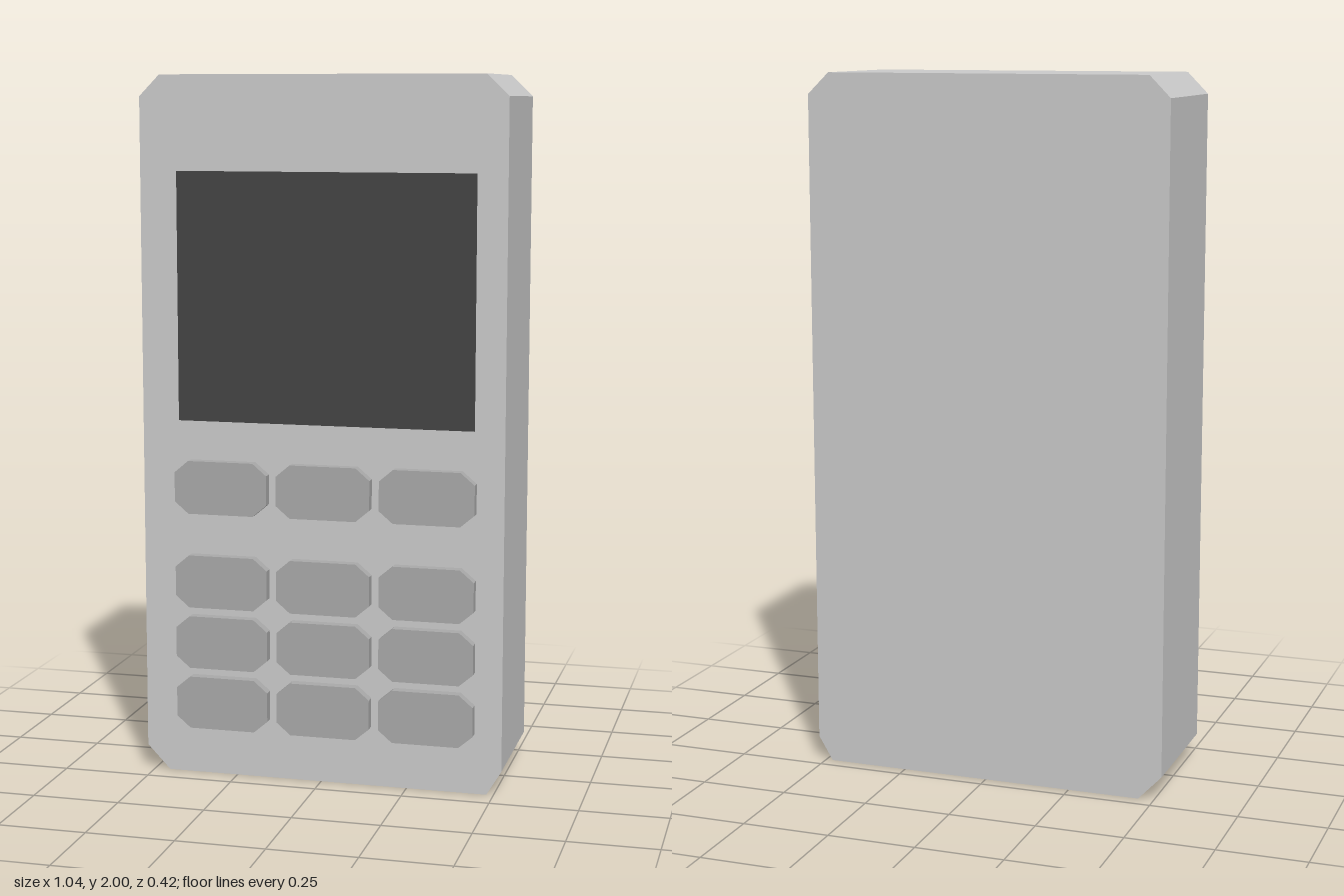
import * as THREE from 'three';

const FRONT = 0.18, BACK = -0.21;

const grey = new THREE.MeshStandardMaterial({ color: 0xcccccc, flatShading: true });
const keyGrey = new THREE.MeshStandardMaterial({ color: 0xaaaaaa, flatShading: true });
const screenDark = new THREE.MeshStandardMaterial({ color: 0x444444 });

// Straight extrusion of an outline from z0 to z1
function slab(name, points, z0, z1, material) {
  const shape = new THREE.Shape(points.map(([x, y]) => new THREE.Vector2(x, y)));
  const geometry = new THREE.ExtrudeGeometry(shape, { depth: z1 - z0, bevelEnabled: false });
  geometry.translate(0, 0, z0);
  const mesh = new THREE.Mesh(geometry, material);
  mesh.name = name;
  return mesh;
}

// Rectangle with cut corners, centred on (x, y)
function cutRectangle(x, y, w, h, cx, cy) {
  const a = w / 2, b = h / 2;
  return [
    [-a + cx, -b], [a - cx, -b], [a, -b + cy], [a, b - cy],
    [a - cx, b], [-a + cx, b], [-a, b - cy], [-a, -b + cy],
  ].map(([px, py]) => [x + px, y + py]);
}

export function createModel() {
  const model = new THREE.Group();
  model.name = 'handset';

  // Case with cut corners, slightly uneven at the bottom
  model.add(slab('case', [
    [-0.455, 0], [0.48, 0], [0.522, 0.07], [0.522, 1.94],
    [0.46, 2], [-0.463, 2], [-0.522, 1.94], [-0.522, 0.07],
  ], BACK, FRONT, grey));

  // Display, lying just above the front face
  const screen = new THREE.Mesh(new THREE.PlaneGeometry(0.853, 0.703), screenDark);
  screen.name = 'screen';
  screen.position.set(0.011, 1.383, FRONT + 0.002);
  model.add(screen);

  // Keypad: one row of menu keys above three rows of number keys
  const keypad = new THREE.Group();
  keypad.name = 'keypad';
  [0.844, 0.571, 0.393, 0.215].forEach((y, row) => {
    [-0.286, 0.012, 0.309].forEach((x) => {
      const name = row === 0 ? 'menuKey' : 'numberKey';
      keypad.add(slab(name, cutRectangle(x, y, 0.27, 0.152, 0.04, 0.034), FRONT, 0.21, keyGrey));
    });
  });
  model.add(keypad);

  return model;
}
